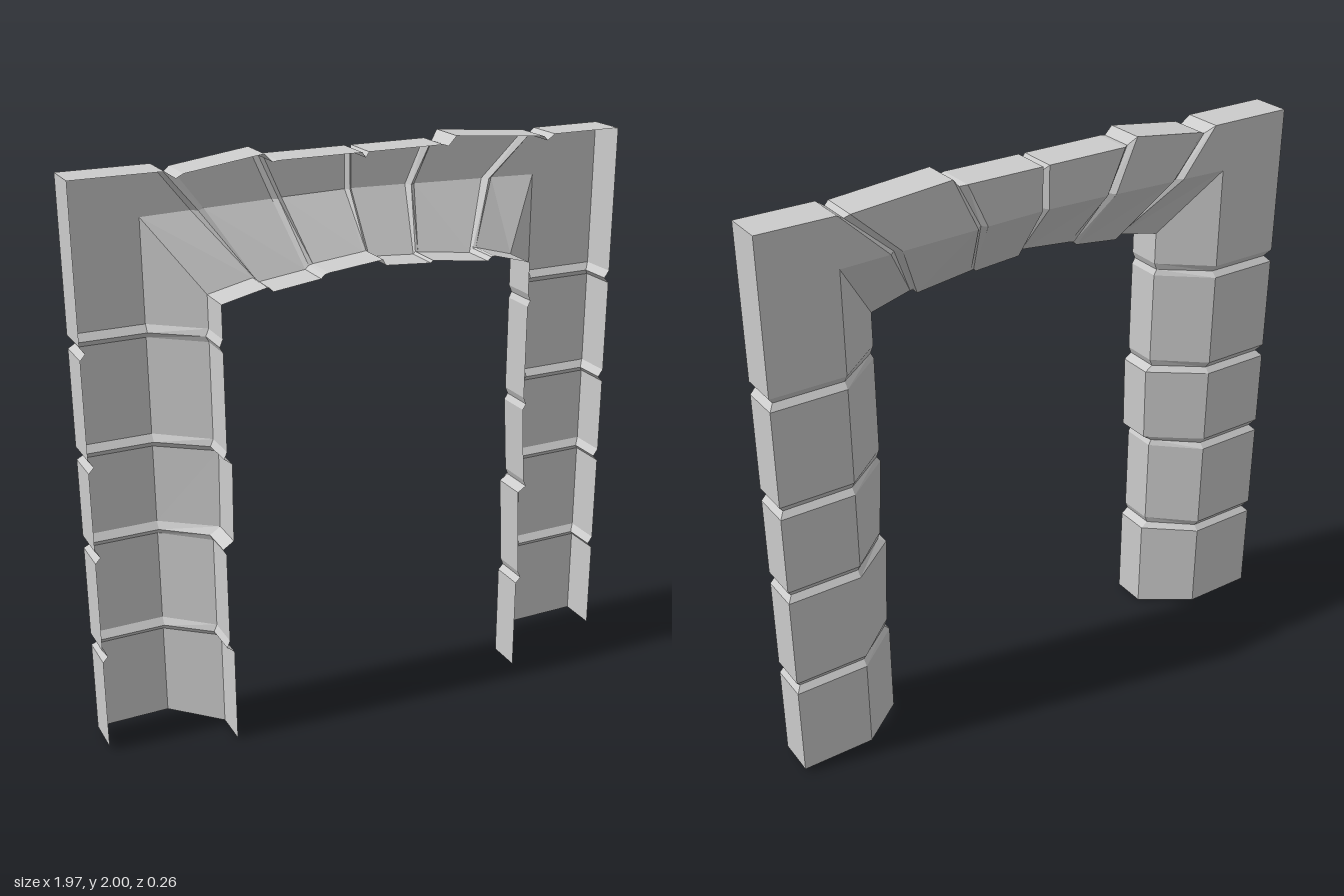
import * as THREE from 'three';

const ZF = 0.13, ZJ = 0.005, ZB = -0.132; // lip edge, fold line, flat face
const XO = 0.983, XC = 0.725;             // outer wall, start of the chamfer
const TOP = 1.975, MITRE = 1.81, LIP = 1.573;
const DEPTH = 0.018;                      // groove depth

const stone = new THREE.MeshStandardMaterial({
  color: 0xcccccc, flatShading: true, side: THREE.DoubleSide,
});

// Skin a list of equally long rows of points with faceted quads.
function loft(name, rows, flip) {
  const pos = [];
  for (let i = 0; i + 1 < rows.length; i++) {
    for (let j = 0; j + 1 < rows[i].length; j++) {
      const a = rows[i][j], b = rows[i][j + 1], c = rows[i + 1][j + 1], d = rows[i + 1][j];
      const tris = flip ? [a, c, b, a, d, c] : [a, b, c, a, c, d];
      tris.forEach((p) => pos.push(...p));
    }
  }
  const geo = new THREE.BufferGeometry();
  geo.setAttribute('position', new THREE.Float32BufferAttribute(pos, 3));
  geo.computeVertexNormals();
  const mesh = new THREE.Mesh(geo, stone);
  mesh.name = name;
  return mesh;
}

// Pillar cross-section: outer wall, flat face, chamfer, inner lip.
function pillarRow(s, y, inner, d = 0, yLip = y) {
  return [
    [s * (XO - d), y, ZJ],
    [s * (XO - d), y, ZB + d],
    [s * XC, y, ZB + d],
    [s * (inner + d * 0.6), yLip, ZJ],
    [s * (inner + d * 0.6), yLip, ZF],
  ];
}

// blocks: [inner x at bottom, inner x at top] of each stone, going up
function pillar(name, s, blocks) {
  const joints = [0.365, 0.735, 1.055, 1.435];
  const rows = [pillarRow(s, 0.015, blocks[0][0], 0, 0)];
  joints.forEach((y, i) => {
    const below = blocks[i][1], above = blocks[i + 1][0];
    rows.push(pillarRow(s, y - 0.02, below));
    rows.push(pillarRow(s, y, Math.max(below, above), DEPTH));
    rows.push(pillarRow(s, y + 0.025, above));
  });
  rows.push(pillarRow(s, MITRE, 0.56, 0, LIP));

  const group = new THREE.Group();
  group.name = name;
  group.add(loft('pillarStones', rows, s < 0));
  // Corner stone above the mitre, and its top
  const corner = (y) => [[s * XO, y, ZJ], [s * XO, y, ZB], [s * XC, y, ZB]];
  group.add(loft('cornerStone', [corner(MITRE), corner(TOP)], s < 0));
  const edge = (x) => [[s * x, TOP, ZJ], [s * x, TOP, ZB]];
  group.add(loft('cornerTop', [edge(XO), edge(XC)], s < 0));
  return group;
}

// Lintel cross-section: top wall, flat face, chamfer, lip underneath.
function lintelRow([tx, ty, cx, cy, lx, ly], groove) {
  const d = groove ? DEPTH : 0;
  return [
    [tx, ty, ZJ], [tx, ty, ZB + d], [cx, cy, ZB + d], [lx, ly, ZJ], [lx, ly, ZF],
  ];
}

function lintel() {
  // Each joint: left edge, groove, right edge as top, chamfer and lip points
  const joints = [
    [[-0.68, TOP, -0.555, 1.815, -0.405, 1.608],
      [-0.645, 1.95, -0.535, 1.815, -0.395, 1.604],
      [-0.62, 1.963, -0.51, 1.816, -0.385, 1.592]],
    [[-0.352, 2.0, -0.275, 1.823, -0.22, 1.613],
      [-0.325, 1.972, -0.258, 1.824, -0.208, 1.625],
      [-0.305, TOP, -0.24, 1.825, -0.193, 1.629]],
    [[-0.012, TOP, -0.012, 1.83, -0.012, 1.648],
      [0, 1.957, 0, 1.83, 0, 1.65],
      [0.012, TOP, 0.012, 1.83, 0.012, 1.629]],
    [[0.285, TOP, 0.215, 1.825, 0.177, 1.617],
      [0.305, 1.968, 0.23, 1.824, 0.185, 1.625],
      [0.335, 2.0, 0.25, 1.823, 0.195, 1.623]],
    [[0.68, 1.97, 0.515, 1.816, 0.395, 1.597],
      [0.693, 1.955, 0.535, 1.815, 0.408, 1.61],
      [0.722, TOP, 0.555, 1.815, 0.42, 1.612]],
  ];
  const end = (s) => lintelRow([s * XC, TOP, s * XC, MITRE, s * 0.56, LIP]);
  const rows = [end(-1)];
  joints.forEach((joint) => joint.forEach((p, k) => rows.push(lintelRow(p, k === 1))));
  rows.push(end(1));
  return loft('lintelStones', rows, true);
}

export function createModel() {
  const model = new THREE.Group();
  model.name = 'stoneDoorway';
  model.add(
    pillar('leftPillar', 1, [[0.56, 0.56], [0.568, 0.553], [0.574, 0.558], [0.56, 0.56], [0.56, 0.56]]),
    pillar('rightPillar', -1, [[0.56, 0.56], [0.575, 0.575], [0.548, 0.543], [0.56, 0.56], [0.56, 0.56]]),
    lintel(),
  );
  return model;
}
